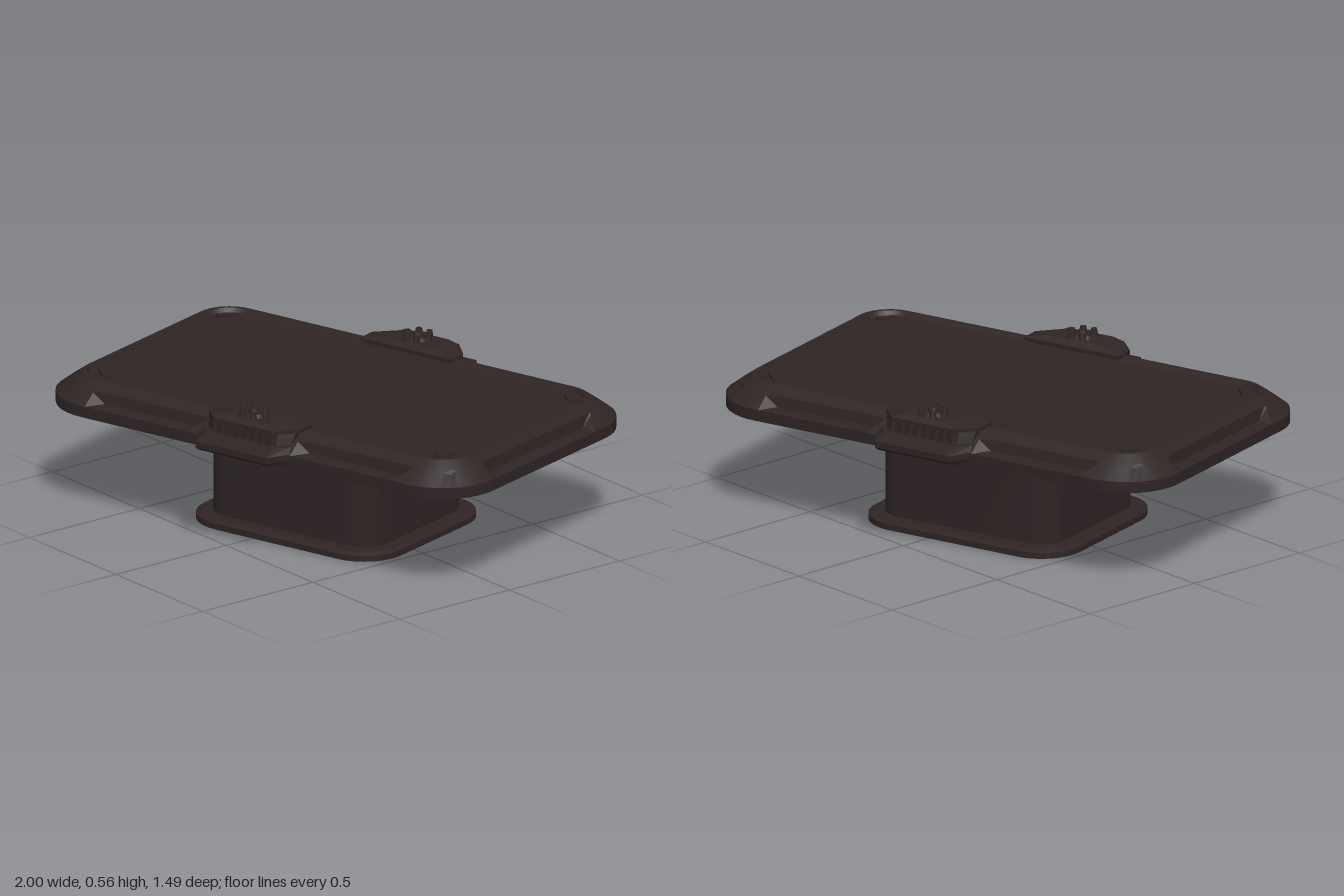
import * as THREE from 'three';
import { toCreasedNormals } from 'three/addons/utils/BufferGeometryUtils.js';

// Skin a stack of closed cross-sections, each a list of [x, y, z]
function loft(rows, crease = 0.35) {
  const pos = [];
  for (let j = 0; j < rows.length - 1; j++) {
    const lo = rows[j], hi = rows[j + 1], n = lo.length;
    for (let i = 0; i < n; i++) {
      const k = (i + 1) % n;
      pos.push(...lo[i], ...hi[i], ...lo[k], ...lo[k], ...hi[i], ...hi[k]);
    }
  }
  const g = new THREE.BufferGeometry();
  g.setAttribute('position', new THREE.Float32BufferAttribute(pos, 3));
  return toCreasedNormals(g, crease);
}

// Rounded rectangle as centre + normal stations; f marks how deep a notch is
function outline(a, b, r, longStops = [], shortStops = [], cornerSlot = 0) {
  const pts = [], seg = 10;
  for (let k = 0; k < 4; k++) {
    const sx = k === 0 || k === 3 ? 1 : -1, sz = k < 2 ? 1 : -1;
    for (let i = 0; i <= seg; i++) {
      const t = (k + i / seg) * Math.PI / 2;
      pts.push({ cx: sx * (a - r), cz: sz * (b - r), nx: Math.cos(t), nz: Math.sin(t), f: i === 5 ? cornerSlot : 0 });
    }
    const t = (k + 1) * Math.PI / 2, nx = Math.round(Math.cos(t)), nz = Math.round(Math.sin(t));
    const half = (nz ? b : a) - r;
    for (const [s, f] of nz ? longStops : shortStops) {
      pts.push({ cx: nx * half - nz * s, cz: nz * half + nx * s, nx, nz, f });
    }
  }
  // Cross-section at inset d; y drops to yNotch inside a notch
  return (d, y, yNotch = y) => pts.map(p =>
    [p.cx + p.nx * (r - d), y + (yNotch - y) * p.f, p.cz + p.nz * (r - d)]);
}

const flatten = (rows, y) => rows.map(() => [0, y, 0]);

// Tapered six-sided block: back z, shoulder z, front z, shoulder and front half widths
const block = (y, z0, z1, z2, w1, w2) => [
  [w1, y, z0], [w1, y, z1], [w2, y, z2], [-w2, y, z2], [-w1, y, z1], [-w1, y, z0]];
const centre = (y, z) => Array.from({ length: 6 }, () => [0, y, z]);

export function createModel() {
  const model = new THREE.Group();
  model.name = 'table';
  const body = new THREE.Group();
  body.name = 'tableBody';
  body.rotation.y = 0.28;
  model.add(body);
  const metal = new THREE.MeshStandardMaterial({ color: 0x2e2424 });
  metal.name = 'darkBrown';
  const add = (parent, geometry, name, x = 0, y = 0, z = 0) => {
    const m = new THREE.Mesh(geometry, metal);
    m.name = name;
    m.position.set(x, y, z);
    parent.add(m);
    return m;
  };

  // Table top: upright rim, notched bevel, narrow lip and recessed panel
  const longStops = [[-0.7, 0], [-0.65, 1], [-0.25, 1], [-0.2, 0], [0.2, 0], [0.25, 1], [0.65, 1], [0.7, 0]];
  const shortStops = [[-0.33, 0], [-0.28, 1], [0.28, 1], [0.33, 0]];
  const top = outline(0.935, 0.563, 0.22, longStops, shortStops, 0.3);
  const rim = top(0, 0.39);
  add(body, loft([
    flatten(rim, 0.39), rim, top(0, 0.432),
    top(0.052, 0.472, 0.438), top(0.06, 0.478), top(0.098, 0.505),
    top(0.113, 0.505), top(0.122, 0.49), top(0.138, 0.487),
    top(0.14, 0.492), flatten(rim, 0.492)]), 'tableTop');

  // Small clips in the panel corners
  for (const sx of [-1, 1]) for (const sz of [-1, 1]) {
    const clip = add(body, new THREE.BoxGeometry(0.07, 0.012, 0.022), 'cornerClip', sx * 0.752, 0.496, sz * 0.378);
    clip.rotation.y = sx * sz * Math.PI / 4;
  }

  // Hollow pedestal with a spreading foot
  const leg = outline(0.37, 0.303, 0.1);
  add(body, loft([
    leg(0.02, 0.389), leg(0.02, 0), leg(-0.062, 0), leg(-0.062, 0.022),
    leg(-0.045, 0.03), leg(0, 0.033), leg(0, 0.39)]), 'pedestal');

  // Clasp on each long side
  for (const turn of [0, Math.PI]) {
    const clasp = new THREE.Group();
    clasp.name = 'clasp';
    clasp.rotation.y = turn;
    body.add(clasp);
    add(clasp, loft([
      centre(0.397, 0.52), block(0.397, 0.48, 0.555, 0.615, 0.2, 0.16),
      block(0.415, 0.48, 0.565, 0.644, 0.2, 0.155), block(0.438, 0.48, 0.565, 0.644, 0.2, 0.155),
      block(0.458, 0.47, 0.54, 0.59, 0.19, 0.15), centre(0.458, 0.52)], 0.1), 'claspLip');
    add(clasp, loft([
      block(0.45, 0.44, 0.53, 0.565, 0.18, 0.14), block(0.505, 0.44, 0.51, 0.55, 0.19, 0.14),
      centre(0.505, 0.5)], 0.1), 'claspNeck');
    add(clasp, loft([
      centre(0.5, 0.5), block(0.5, 0.425, 0.5, 0.572, 0.2, 0.13),
      block(0.513, 0.425, 0.5, 0.572, 0.2, 0.13), block(0.53, 0.445, 0.5, 0.555, 0.11, 0.095),
      centre(0.53, 0.5)], 0.1), 'claspCap');
    // Grip ridges under the cap
    for (let i = -3; i <= 3; i++) {
      add(clasp, new THREE.BoxGeometry(0.018, 0.04, 0.03), 'gripRidge', i * 0.036, 0.478, 0.557);
    }
    // Dial with a ring of studs
    add(clasp, new THREE.CylinderGeometry(0.042, 0.05, 0.014, 16), 'dial', 0, 0.536, 0.5);
    for (let i = 0; i < 6; i++) {
      const t = i * Math.PI / 3;
      const stud = add(clasp, new THREE.CylinderGeometry(0.011, 0.015, 0.024, 8), 'dialStud',
        0.046 * Math.cos(t), 0.542, 0.5 + 0.046 * Math.sin(t));
      stud.rotation.y = -t;
    }
    add(clasp, new THREE.CylinderGeometry(0.016, 0.02, 0.014, 10), 'dialHub', 0, 0.548, 0.5);
  }
  return model;
}
